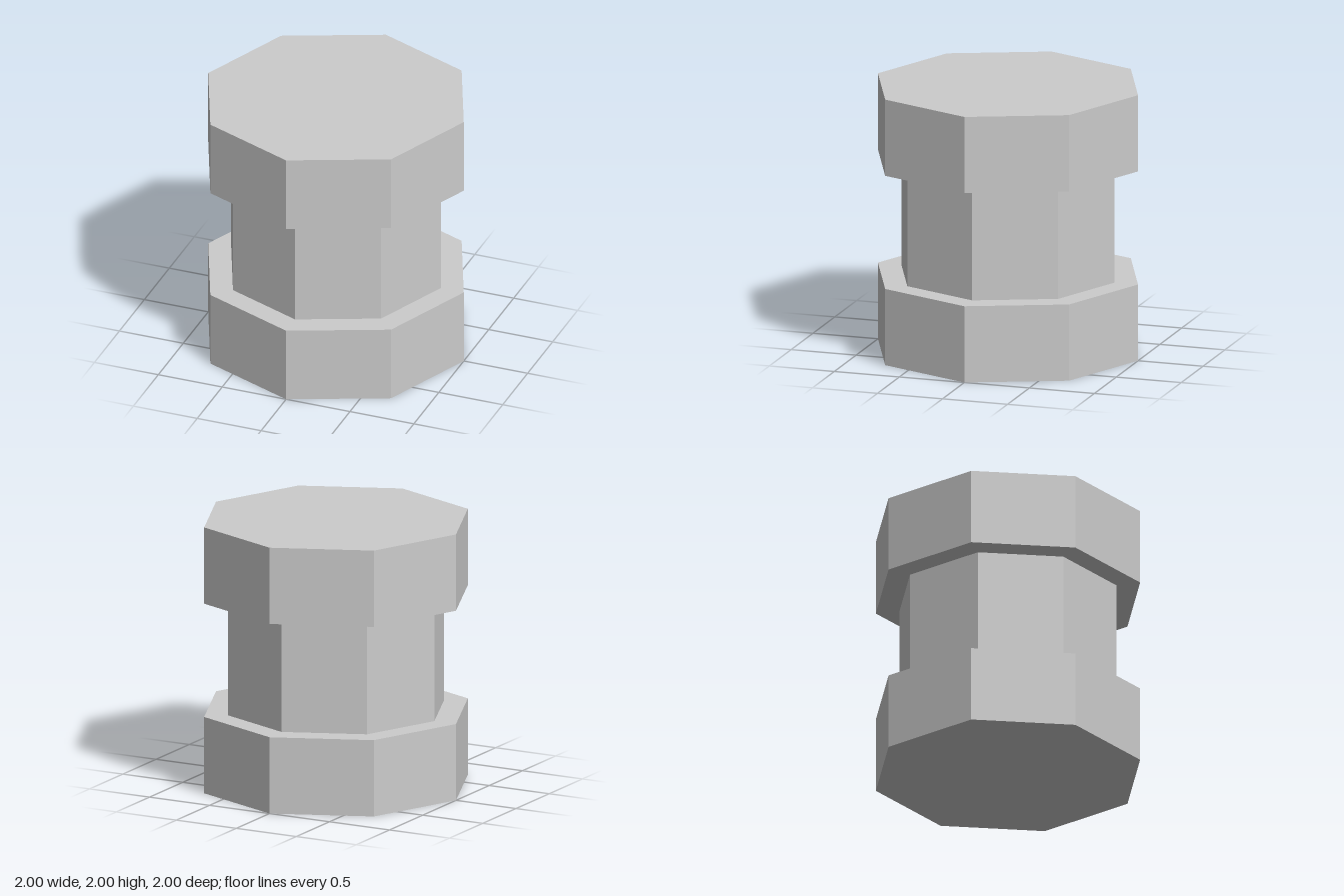
import * as THREE from 'three';

const SIDES = 8;
const HEIGHT = 2;
const FLANGE_RADIUS = 1;
const FLANGE_HEIGHT = 0.574;
const CORE_RADIUS = 0.82;

export function createModel() {
  const model = new THREE.Group();
  model.name = 'spool';
  const material = new THREE.MeshStandardMaterial({ color: 0xcccccc, flatShading: true });

  // Octagonal prism standing on the given height, one corner facing +z
  function addPrism(name, radius, bottom, height, open = false) {
    const geometry = new THREE.CylinderGeometry(radius, radius, height, SIDES, 1, open);
    const mesh = new THREE.Mesh(geometry, material);
    mesh.name = name;
    mesh.position.y = bottom + height / 2;
    model.add(mesh);
  }

  // Two wide flanges joined by a narrower core
  addPrism('bottomFlange', FLANGE_RADIUS, 0, FLANGE_HEIGHT);
  addPrism('core', CORE_RADIUS, FLANGE_HEIGHT, HEIGHT - 2 * FLANGE_HEIGHT, true);
  addPrism('topFlange', FLANGE_RADIUS, HEIGHT - FLANGE_HEIGHT, FLANGE_HEIGHT);

  return model;
}
